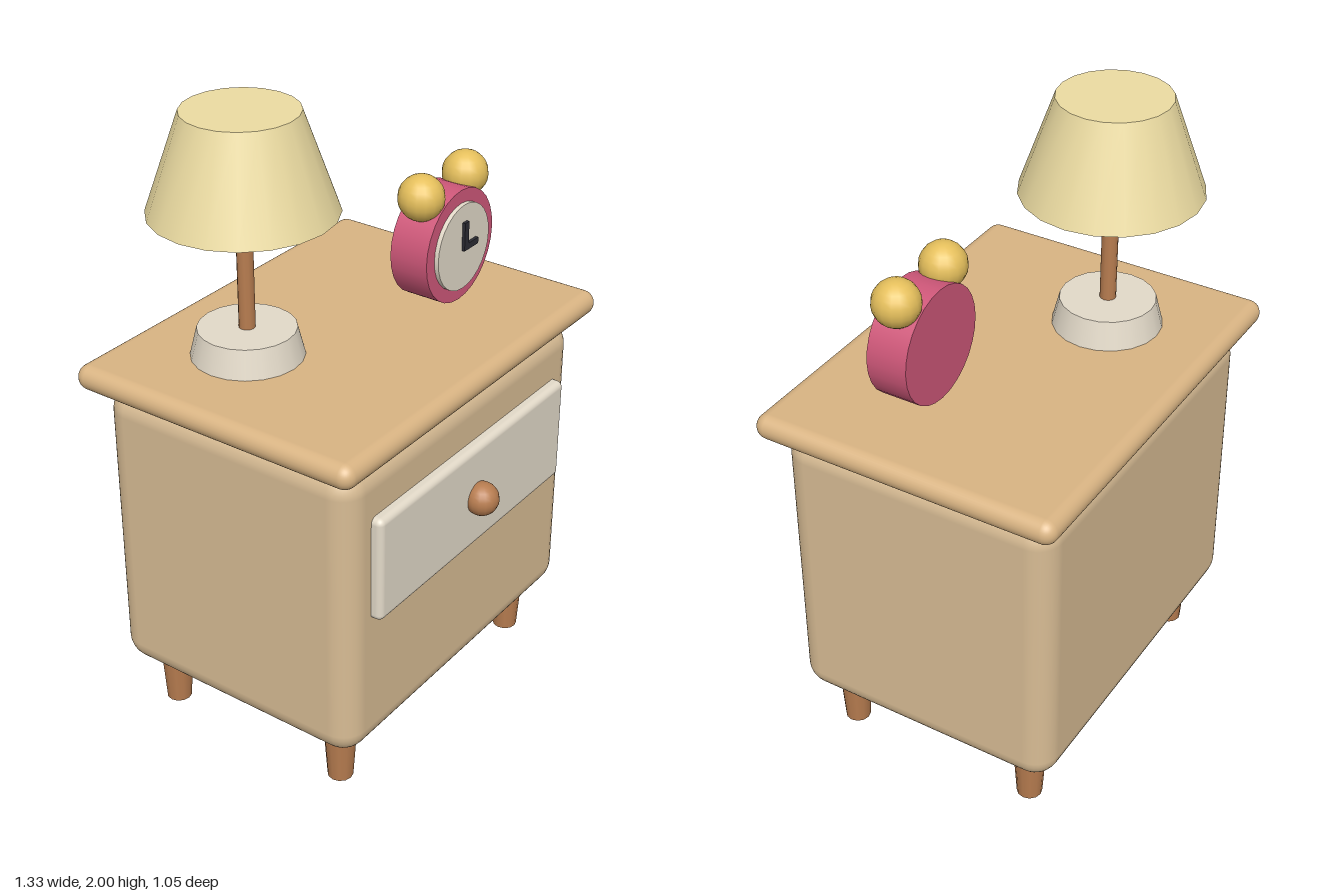
import * as THREE from 'three';
import { RoundedBoxGeometry } from 'three/addons/geometries/RoundedBoxGeometry.js';

const paint = (color) => new THREE.MeshStandardMaterial({ color });

export function createModel() {
  const model = new THREE.Group();
  const wood = paint(0xd8bc94), topWood = paint(0xd9b483), darkWood = paint(0xb87d50);
  const cream = paint(0xe3dac9), shadeCloth = paint(0xecdca2), red = paint(0xd0587a);
  const gold = paint(0xe6c05c), black = paint(0x2c2c34);

  const add = (parent, name, geometry, material, x, y, z) => {
    const mesh = new THREE.Mesh(geometry, material);
    mesh.name = name;
    mesh.position.set(x, y, z);
    parent.add(mesh);
    return mesh;
  };
  const group = (name, x, y, z) => {
    const g = new THREE.Group();
    g.name = name;
    g.position.set(x, y, z);
    model.add(g);
    return g;
  };

  // Cabinet: rounded body, overhanging top, drawer front and knob
  const cabinet = group('cabinet', 0, 0, -0.03);
  add(cabinet, 'body', new RoundedBoxGeometry(1.2, 0.985, 0.9, 4, 0.08), wood, 0, 0.67, 0);
  add(cabinet, 'tableTop', new RoundedBoxGeometry(1.33, 0.08, 0.99, 4, 0.04), topWood, 0, 1.206, 0);
  add(cabinet, 'drawerFront', new RoundedBoxGeometry(0.99, 0.345, 0.08, 3, 0.02), cream, 0, 0.822, 0.445);
  add(cabinet, 'drawerKnob', new THREE.SphereGeometry(0.053, 16, 12), darkWood, 0, 0.822, 0.503);

  // Four tapered legs
  for (const x of [-0.475, 0.475]) {
    for (const z of [-0.325, 0.325]) {
      add(cabinet, 'leg', new THREE.CylinderGeometry(0.053, 0.04, 0.2, 12), darkWood, x, 0.1, z);
    }
  }

  // Table lamp
  const lamp = group('lamp', -0.303, 1.246, -0.162);
  add(lamp, 'lampBase', new THREE.CylinderGeometry(0.148, 0.17, 0.088, 20), cream, 0, 0.044, 0);
  add(lamp, 'lampPole', new THREE.CylinderGeometry(0.025, 0.025, 0.42, 12), darkWood, 0, 0.27, 0);
  add(lamp, 'lampShade', new THREE.CylinderGeometry(0.172, 0.278, 0.3, 20), shadeCloth, 0, 0.604, 0);

  // Alarm clock, facing +z
  const clock = group('alarmClock', 0.322, 1.444, 0.098);
  const disc = (name, radius, depth, material, z) => {
    add(clock, name, new THREE.CylinderGeometry(radius, radius, depth, 28), material, 0, 0, z).rotation.x = Math.PI / 2;
  };
  disc('clockCase', 0.181, 0.13, red, 0);
  disc('clockFace', 0.139, 0.03, cream, 0.064);
  add(clock, 'minuteHand', new THREE.BoxGeometry(0.022, 0.092, 0.014), black, 0, 0.037, 0.082);
  add(clock, 'hourHand', new THREE.BoxGeometry(0.076, 0.02, 0.014), black, 0.027, 0.001, 0.082);
  for (const side of [-1, 1]) {
    add(clock, 'bell', new THREE.SphereGeometry(0.072, 16, 12), gold, side * 0.118, 0.183, 0);
  }

  return model;
}
